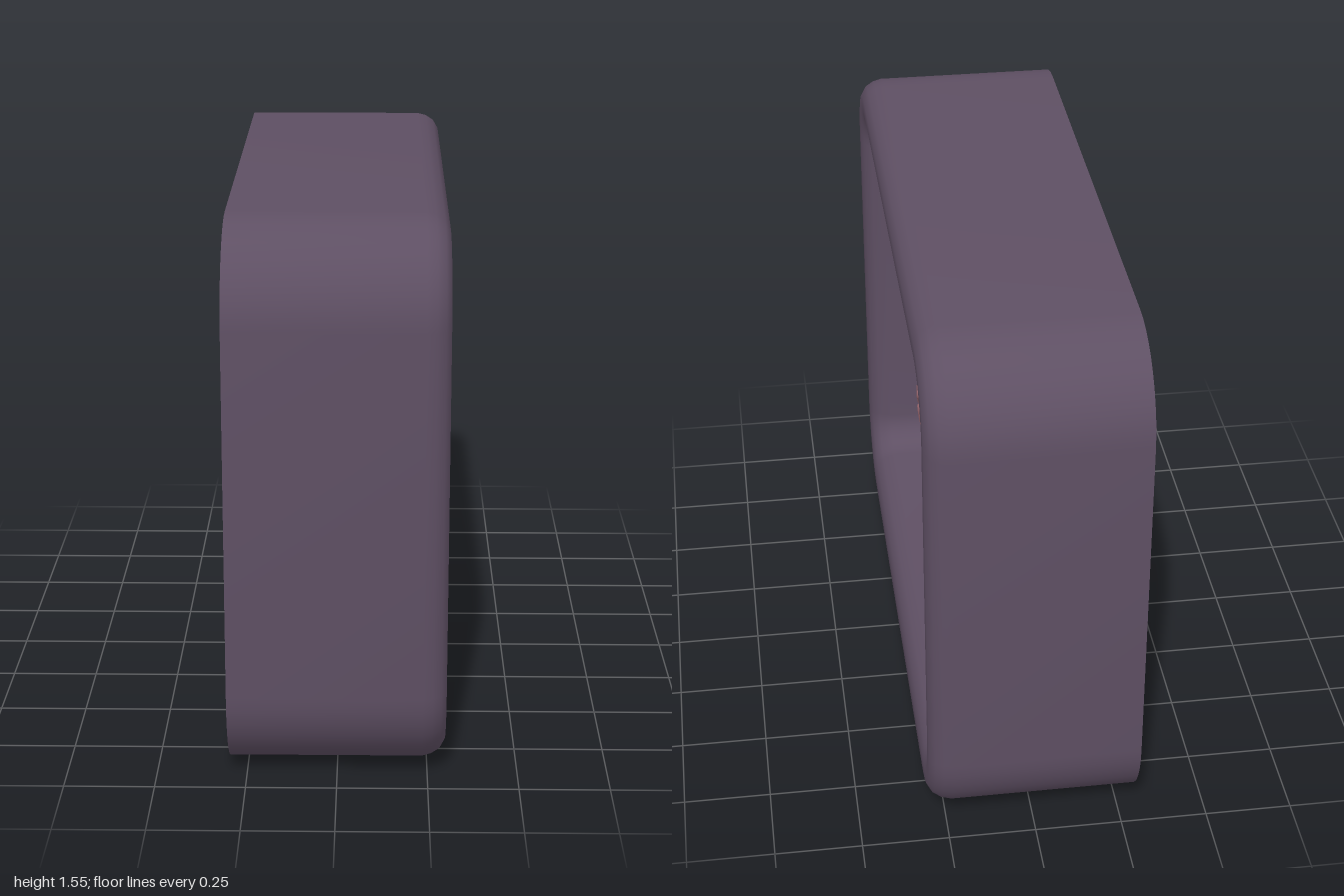
import * as THREE from 'three';
import { mergeVertices, toCreasedNormals } from 'three/addons/utils/BufferGeometryUtils.js';

const V = (x, y, z) => new THREE.Vector3(x, y, z);
const MID = 0.7775; // height of the case centre

function makeMaterial(name, color) {
  const m = new THREE.MeshStandardMaterial({ color });
  m.name = name;
  return m;
}

// Points of a rounded rectangle, [z, y], counter-clockwise, inset by d from the outer case
function roundedLoop(d, steps = 10) {
  const r = 0.265 - d, hz = 1 - d, hy = MID - d, pts = [];
  [[1, 1], [-1, 1], [-1, -1], [1, -1]].forEach(([sz, sy], q) => {
    for (let k = 0; k <= steps; k++) {
      const a = (q + k / steps) * Math.PI / 2;
      pts.push([sz * (hz - r) + r * Math.cos(a), MID + sy * (hy - r) + r * Math.sin(a)]);
    }
  });
  return pts;
}

// Case: a rounded profile swept round the rectangular loop
function caseGeometry() {
  const profile = [[-0.3, 0], [0.235, 0], [0.262, 0.007], [0.285, 0.022], [0.3, 0.048],
    [0.3, 0.095], [0.292, 0.125], [0.272, 0.15], [0.235, 0.165], [-0.3, 0.165]];
  const pos = [], idx = [];
  const rows = profile.map(([x, d]) => roundedLoop(d).map(([z, y]) => [x, y, z]));
  const n = rows[0].length, m = rows.length;
  rows.forEach(row => row.forEach(p => pos.push(...p)));
  for (let i = 0; i < m; i++) for (let j = 0; j < n; j++) {
    const a = i * n + j, b = ((i + 1) % m) * n + j;
    const c = ((i + 1) % m) * n + (j + 1) % n, e = i * n + (j + 1) % n;
    idx.push(a, b, c, a, c, e);
  }
  const g = new THREE.BufferGeometry();
  g.setAttribute('position', new THREE.Float32BufferAttribute(pos, 3));
  g.setIndex(idx);
  return toCreasedNormals(g, 0.75);
}

// Flat rounded plate or ring lying in the yz plane between x0 and x1
function plateGeometry(dOuter, dInner, x0, x1) {
  const loop = d => roundedLoop(d).map(([z, y]) => new THREE.Vector2(-z, y));
  const shape = new THREE.Shape(loop(dOuter));
  if (dInner) shape.holes.push(new THREE.Path(loop(dInner)));
  const g = new THREE.ExtrudeGeometry(shape, { depth: x1 - x0, bevelEnabled: false });
  return g.rotateY(Math.PI / 2).translate(x0, 0, 0);
}

// Folded surface pattern: 0 in the grooves, 1 on top of the folds
function folds(x, y, z) {
  const k = 43;
  const u = k * x + 1.3 * Math.sin(13 * y + 2) + 0.8 * Math.sin(21 * z);
  const v = k * y + 1.3 * Math.sin(12 * z + 1) + 0.8 * Math.sin(19 * x);
  const w = k * z + 1.3 * Math.sin(14 * x + 4) + 0.8 * Math.sin(23 * y);
  const g = Math.sin(u) * Math.cos(v) + Math.sin(v) * Math.cos(w) + Math.sin(w) * Math.cos(u);
  return 1 - Math.exp(-g * g * 7);
}

// Cerebrum: side outline as radius per angle, widened to an ovoid and folded
function cerebrumGeometry(cx) {
  // outline radii every 20 degrees, from the front (+z) over the top
  const R = [0.43, 0.415, 0.37, 0.33, 0.305, 0.305, 0.32, 0.36, 0.41,
    0.435, 0.41, 0.29, 0.245, 0.285, 0.305, 0.32, 0.36, 0.41];
  const radius = t => {
    const f = (t / (2 * Math.PI) + 1) % 1 * R.length, i = Math.floor(f), s = f - i;
    const w = s * s * (3 - 2 * s);
    return R[i % R.length] * (1 - w) + R[(i + 1) % R.length] * w;
  };
  let g = new THREE.IcosahedronGeometry(1, 60);
  g.deleteAttribute('normal');
  g.deleteAttribute('uv');
  g = mergeVertices(g, 1e-4);
  const p = g.attributes.position, d = V(0, 0, 0);
  for (let i = 0; i < p.count; i++) {
    d.fromBufferAttribute(p, i).normalize();
    const r = radius(Math.atan2(d.y, d.z));
    const x = 0.245 * d.x, y = r * d.y, z = r * d.z;
    const split = Math.exp(-((x / 0.014) ** 2));
    const s = 1.02 - 0.085 * (1 - folds(x, y, z)) - 0.12 * split;
    p.setXYZ(i, cx + x * s, 0.83 + y * s, z * s);
  }
  g.computeVertexNormals();
  return g;
}

// Cerebellum: two lobes joined, with thin horizontal leaves
function cerebellumGeometry(cx) {
  const g = new THREE.SphereGeometry(1, 48, 48);
  const p = g.attributes.position;
  for (let i = 0; i < p.count; i++) {
    const x = p.getX(i), y = p.getY(i), z = p.getZ(i);
    const s = 1 - 0.07 * Math.abs(Math.cos(y * 7 + z)) ** 6 - 0.15 * Math.exp(-((x / 0.12) ** 2));
    p.setXYZ(i, cx + 0.19 * x * s, 0.672 + 0.068 * y * s - 0.02 * z, -0.315 + 0.125 * z * s);
  }
  g.computeVertexNormals();
  return g;
}

export function createModel() {
  const model = new THREE.Group();
  const plum = makeMaterial('plum casing', 0x5e4f63);
  const grey = makeMaterial('pale grey panel', 0xc8c8c8);
  const teal = makeMaterial('pale teal trim', 0x94c6be);
  const pink = makeMaterial('brain pink', 0xa06c74);
  const silver = makeMaterial('silver metal', 0xa8a8a8);
  const white = makeMaterial('off white', 0xdcdcd8);
  const red = makeMaterial('dark red', 0x6e2020);

  const add = (name, geo, mat, parent = model) => {
    const m = new THREE.Mesh(geo, mat);
    m.name = name;
    parent.add(m);
    return m;
  };
  const box = (name, mat, w, h, d, x, y, z) =>
    add(name, new THREE.BoxGeometry(w, h, d).translate(x, y, z), mat);
  // Straight round bar from a to b, radius ra at a and rb at b
  const rod = (name, mat, a, b, ra, rb = ra) => {
    const m = add(name, new THREE.CylinderGeometry(rb, ra, a.distanceTo(b), 14), mat);
    m.position.copy(a).lerp(b, 0.5);
    m.quaternion.setFromUnitVectors(V(0, 1, 0), b.clone().sub(a).normalize());
    return m;
  };
  const tube = (name, mat, r, ...pts) =>
    add(name, new THREE.TubeGeometry(new THREE.CatmullRomCurve3(pts), 24, r, 8), mat);
  const ball = (name, mat, c, r) =>
    add(name, new THREE.SphereGeometry(r, 14, 10).translate(c.x, c.y, c.z), mat);

  // Case, back panel and trim
  add('case', caseGeometry(), plum);
  add('backPanel', plateGeometry(0.16, 0, -0.298, -0.286), grey);
  add('trimOuter', plateGeometry(0.16, 0.178, -0.286, -0.255), teal);
  add('trimInner', plateGeometry(0.18, 0.195, -0.286, -0.265), teal);
  box('ceilingStrip', teal, 0.08, 0.02, 1.2, 0.16, 1.383, 0);

  // Slats, with their thin slots on the back
  for (let i = 0; i < 5; i++) {
    const y = 0.34 + i * 0.2215;
    add('slat', new THREE.CapsuleGeometry(0.019, 1.45, 4, 12).rotateX(Math.PI / 2)
      .translate(-0.275, y, 0), plum);
    box('slatSlot', plum, 0.004, 0.018, 1.47, -0.298, y, 0);
  }

  // Brain
  const cx = -0.03;
  add('cerebrum', cerebrumGeometry(cx), pink);
  add('cerebellum', cerebellumGeometry(cx), pink);
  rod('brainStem', pink, V(cx, 0.43, -0.265), V(cx, 0.7, -0.175), 0.038, 0.066);
  const pons = add('pons', new THREE.SphereGeometry(0.07, 20, 14), pink);
  pons.position.set(cx, 0.675, -0.165);

  // Support rods: socket on the wall, tapering bar, ball on the brain
  [[V(-0.05, 0.782, 0.835), V(-0.03, 0.81, 0.44)],
    [V(-0.07, 0.708, -0.835), V(-0.03, 0.735, -0.42)],
    [V(0.01, 1.39, 0.335), V(0.0, 1.085, 0.265)],
    [V(0.01, 1.39, -0.37), V(0.0, 1.085, -0.235)]].forEach(([a, b]) => {
    const n = Math.abs(a.z) > 0.8 ? V(0, 0, -Math.sign(a.z)) : V(0, -1, 0);
    rod('socket', plum, a, a.clone().addScaledVector(n, 0.022), 0.032, 0.028);
    rod('supportRod', silver, a, b, 0.011, 0.007);
    ball('rodBall', white, b, 0.018);
  });

  // Straight fine wires and curved red lead
  rod('fineWire', silver, V(-0.06, 1.39, 0.51), V(-0.03, 0.83, 0.44), 0.004);
  rod('redWire', red, V(-0.06, 1.39, -0.51), V(-0.03, 0.85, -0.42), 0.006);
  tube('redLead', red, 0.007, V(-0.06, 1.39, 0.205), V(-0.06, 1.27, 0.245),
    V(-0.06, 1.17, 0.265), V(-0.06, 1.08, 0.255));

  // Electrode cables hanging from the ceiling
  [[V(0.03, 1.39, 0.075), V(0.03, 1.29, 0.13), V(0.04, 1.2, 0.165), V(0.05, 1.08, 0.165)],
    [V(-0.1, 1.39, 0.12), V(-0.1, 1.33, 0.18), V(-0.1, 1.25, 0.2), V(-0.1, 1.1, 0.21)],
    [V(0, 1.39, -0.03), V(0, 1.35, 0), V(0, 1.3, 0.02), V(0, 1.11, 0.03)],
    [V(0.03, 1.39, -0.22), V(0.03, 1.31, -0.17), V(0.03, 1.2, -0.18), V(0.03, 1.09, -0.19)],
    [V(-0.08, 1.39, -0.2), V(-0.08, 1.3, -0.29), V(-0.08, 1.2, -0.29), V(-0.08, 1.07, -0.23)],
    [V(0.06, 1.39, -0.24), V(0.07, 1.27, -0.31), V(0.07, 1.17, -0.3), V(0.06, 1.06, -0.25)]]
    .forEach(pts => tube('electrodeCable', silver, 0.006, ...pts));

  // Electrode plugs, each with a teal cuff
  [[V(0, 1.33, 0.015), V(0, 1.22, 0.03)],
    [V(-0.1, 1.22, 0.205), V(-0.1, 1.11, 0.21)],
    [V(0.03, 1.2, -0.18), V(0.03, 1.09, -0.19)],
    [V(0.11, 1.09, 0.165), V(0.2, 0.98, 0.14)]].forEach(([a, b]) => {
    rod('electrodePlug', white, a, b, 0.013, 0.011);
    rod('plugCuff', teal, a.clone().lerp(b, 0.7), a.clone().lerp(b, 0.95), 0.015);
  });
  tube('sideCable', silver, 0.006, V(0.04, 1.39, 0.15), V(0.06, 1.25, 0.18), V(0.11, 1.09, 0.165));

  // Feed tubes below the stem, with floor sockets
  tube('greyTube', silver, 0.011, V(-0.06, 0.415, -0.165), V(-0.07, 0.32, -0.17),
    V(-0.12, 0.23, -0.22), V(-0.18, 0.175, -0.29));
  tube('redTube', red, 0.011, V(-0.04, 0.415, -0.2), V(-0.07, 0.32, -0.25),
    V(-0.13, 0.23, -0.31), V(-0.18, 0.175, -0.375));
  [-0.28, -0.41].forEach(z => rod('floorSocket', plum, V(-0.18, 0.16, z), V(-0.18, 0.185, z), 0.022));

  return model;
}
